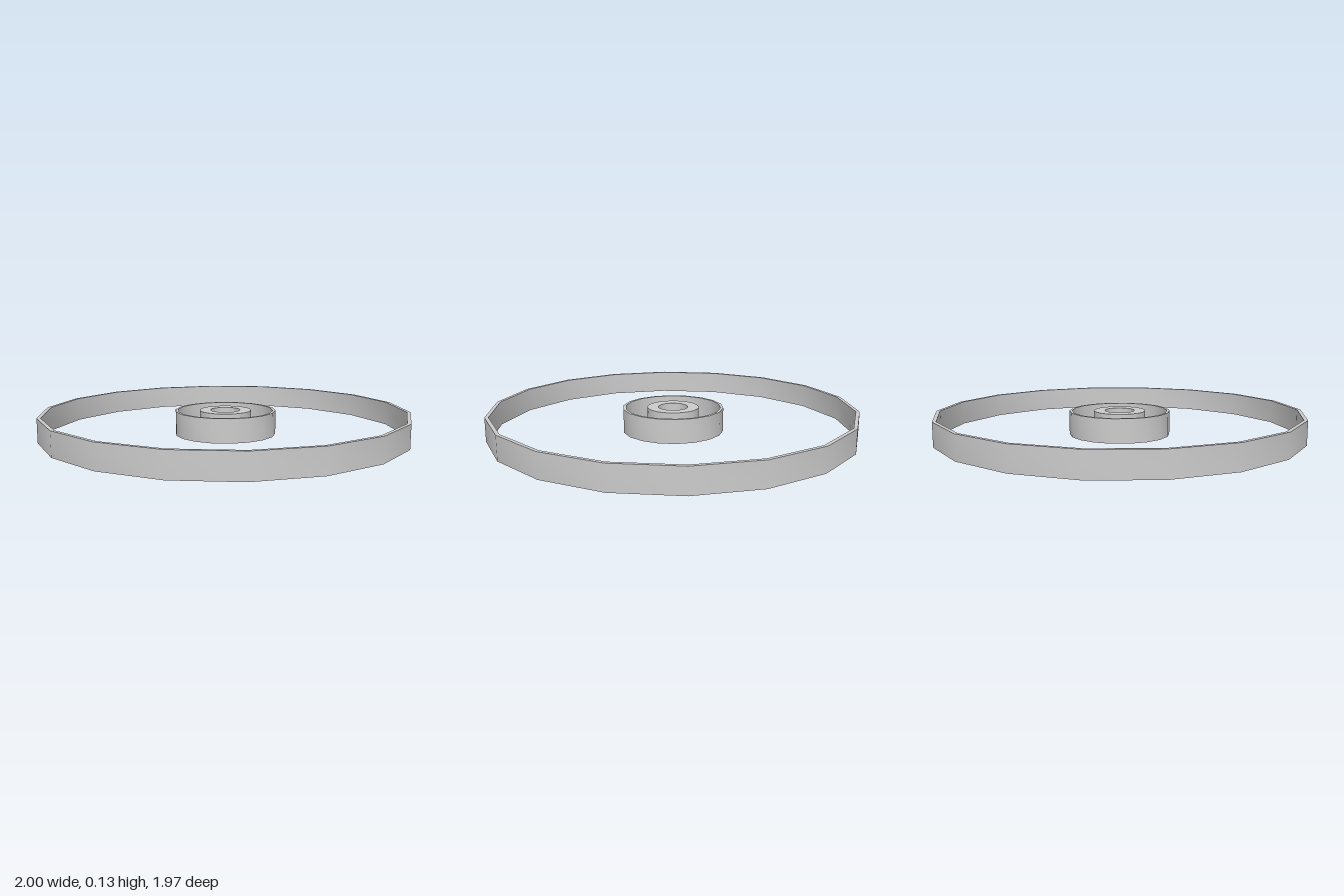
import * as THREE from 'three';
import { toCreasedNormals } from 'three/addons/utils/BufferGeometryUtils.js';

const HEIGHT = 0.13;
const material = new THREE.MeshStandardMaterial({ color: 0xcccccc });

// Rectangular band revolved about y, with a corner on the x axis
function band(name, outer, inner, sides) {
  const profile = [
    [outer, 0], [outer, HEIGHT], [inner, HEIGHT], [inner, 0], [outer, 0],
  ].map(([r, y]) => new THREE.Vector2(r, y));
  const lathe = new THREE.LatheGeometry(profile, sides, Math.PI / 2);
  // Walls shade smoothly, rims stay sharp
  const mesh = new THREE.Mesh(toCreasedNormals(lathe, 0.6), material);
  mesh.name = name;
  return mesh;
}

export function createModel() {
  const model = new THREE.Group();
  model.name = 'concentricRings';
  model.add(
    band('outerRing', 1, 0.98, 18),
    band('innerRing', 0.275, 0.26, 18),
    band('hub', 0.14, 0.08, 64),
  );
  return model;
}
